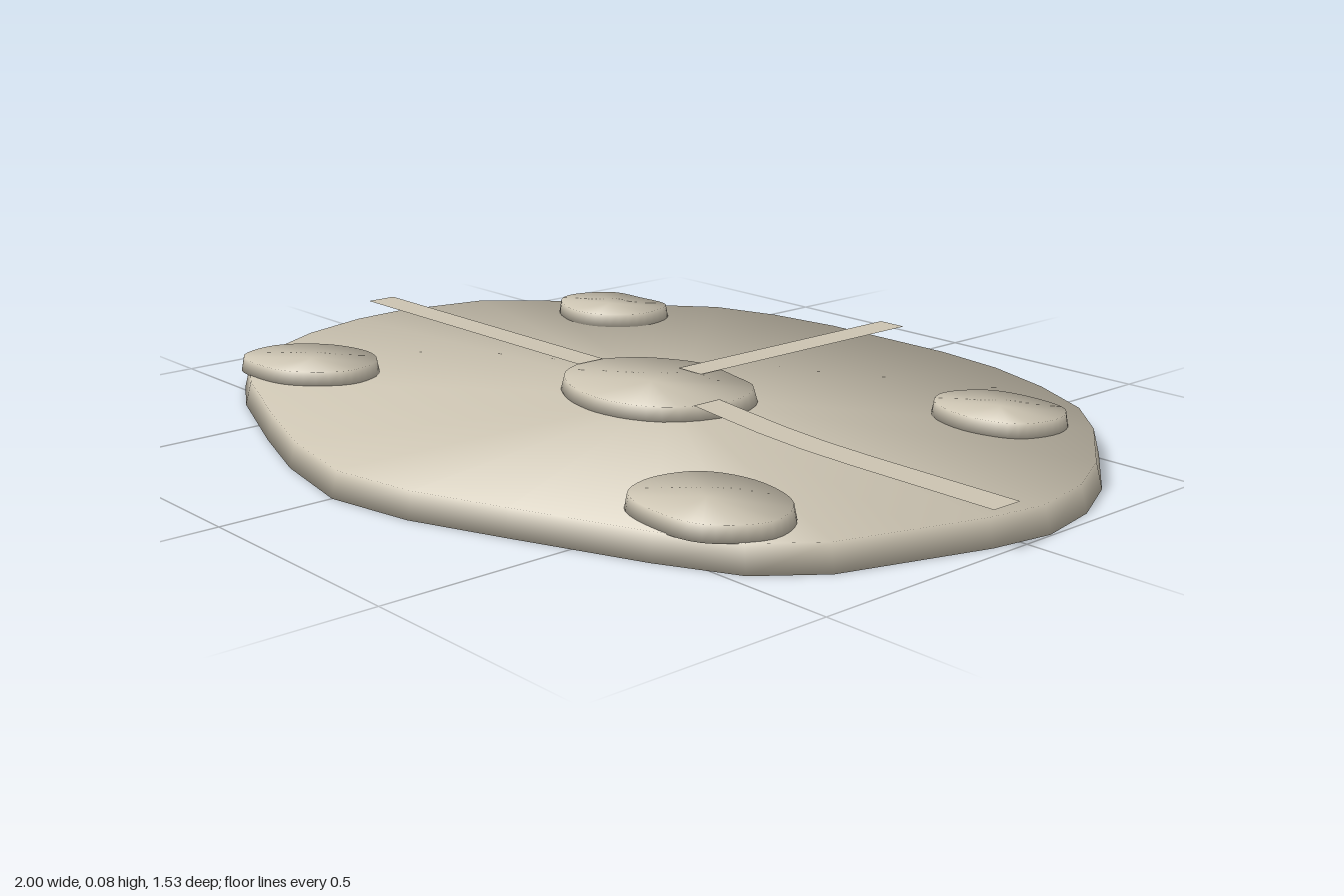
import * as THREE from 'three';

// Closed solid slab from an [x, z] outline (counterclockwise seen from above),
// slightly narrower on top, with edge normals rounded at 45 degrees.
function slab(name, outline, y0, y1, inset, samples, material) {
  const ctrl = outline.map(([x, z]) => new THREE.Vector3(x, 0, z));
  const ring = samples
    ? new THREE.CatmullRomCurve3(ctrl, true).getPoints(samples).slice(0, -1)
    : ctrl;
  const n = ring.length;
  const centre = ring.reduce((s, p) => s.add(p), new THREE.Vector3()).divideScalar(n);
  const pos = [], nor = [], idx = [];
  for (const [y, k, up] of [[y0, 1, -1], [y1, 1 - inset, 1]]) {
    ring.forEach((p, i) => {
      const t = ring[(i + 1) % n].clone().sub(ring[(i + n - 1) % n]).normalize();
      const q = p.clone().sub(centre).multiplyScalar(k).add(centre);
      pos.push(q.x, y, q.z);
      nor.push(-t.z * Math.SQRT1_2, up * Math.SQRT1_2, t.x * Math.SQRT1_2);
    });
    pos.push(centre.x, y, centre.z);
    nor.push(0, up, 0);
  }
  const m = n + 1;
  for (let i = 0; i < n; i++) {
    const j = (i + 1) % n;
    idx.push(i, j, m + j, i, m + j, m + i); // side wall
    idx.push(n, j, i);                      // underside
    idx.push(m + n, m + i, m + j);          // top
  }
  // sides face away from the centre
  for (let i = 0; i < nor.length; i += 3) {
    const out = nor[i] * (pos[i] - centre.x) + nor[i + 2] * (pos[i + 2] - centre.z);
    if (out < 0) { nor[i] *= -1; nor[i + 2] *= -1; }
  }
  const g = new THREE.BufferGeometry();
  g.setAttribute('position', new THREE.Float32BufferAttribute(pos, 3));
  g.setAttribute('normal', new THREE.Float32BufferAttribute(nor, 3));
  g.setIndex(idx);
  const mesh = new THREE.Mesh(g, material);
  mesh.name = name;
  return mesh;
}

// Flat strip between two edges of [x, z] points
function strip(name, edgeA, edgeB, y, material) {
  const shape = new THREE.Shape(
    [...edgeA, ...edgeB.slice().reverse()].map(([x, z]) => new THREE.Vector2(x, -z)));
  const mesh = new THREE.Mesh(new THREE.ShapeGeometry(shape).rotateX(-Math.PI / 2), material);
  mesh.position.y = y;
  mesh.name = name;
  return mesh;
}

export function createModel() {
  const stone = new THREE.MeshStandardMaterial({ color: 0xccc4b2, side: THREE.DoubleSide });
  stone.name = 'warm stone';
  const model = new THREE.Group();
  model.name = 'terrainPlate';

  // Base plate
  model.add(slab('basePlate', [
    [0, -0.763], [-0.17, -0.76], [-0.345, -0.735], [-0.5, -0.685], [-0.64, -0.565], [-0.85, -0.4],
    [-0.95, -0.285], [-0.997, -0.07], [-0.99, 0.06], [-0.945, 0.225], [-0.88, 0.35],
    [-0.785, 0.485], [-0.655, 0.56], [-0.4, 0.66], [-0.21, 0.725], [0, 0.765],
    [0.19, 0.73], [0.38, 0.655], [0.64, 0.548], [0.79, 0.47], [0.88, 0.355],
    [0.93, 0.2], [0.975, 0.06], [0.997, -0.07], [0.97, -0.21], [0.905, -0.345],
    [0.77, -0.52], [0.66, -0.62], [0.505, -0.695], [0.34, -0.745], [0.17, -0.765],
  ], 0, 0.052, 0.015, 0, stone));

  // Raised mounds
  const mounds = {
    centreMound: [[-0.035, -0.212], [-0.12, -0.18], [-0.175, -0.14], [-0.217, -0.07], [-0.22, 0],
      [-0.18, 0.075], [-0.09, 0.13], [-0.02, 0.147], [0.03, 0.149], [0.11, 0.13], [0.18, 0.08],
      [0.223, -0.02], [0.217, -0.1], [0.17, -0.165], [0.085, -0.19]],
    backRightMound: [[-0.6, -0.525], [-0.7, -0.51], [-0.745, -0.415], [-0.715, -0.355],
      [-0.605, -0.31], [-0.525, -0.33], [-0.465, -0.415], [-0.5, -0.52]],
    backLeftMound: [[0.595, -0.525], [0.5, -0.5], [0.452, -0.415], [0.485, -0.345],
      [0.595, -0.31], [0.705, -0.345], [0.735, -0.435], [0.7, -0.505]],
    frontRightMound: [[-0.6, 0.275], [-0.72, 0.31], [-0.79, 0.405], [-0.76, 0.505],
      [-0.655, 0.525], [-0.56, 0.5], [-0.483, 0.4], [-0.515, 0.31]],
    frontLeftMound: [[0.61, 0.27], [0.505, 0.31], [0.473, 0.405], [0.51, 0.495],
      [0.61, 0.525], [0.725, 0.51], [0.795, 0.41], [0.75, 0.31]],
  };
  for (const [name, outline] of Object.entries(mounds))
    model.add(slab(name, outline, 0.05, 0.081, 0.04, 40, stone));

  // Flat paths running out from the centre
  const roadY = 0.084;
  model.add(strip('backPath', [[-0.035, -0.13], [0.035, -0.13]],
    [[-0.035, -0.77], [0.035, -0.77]], roadY, stone));
  model.add(strip('rightPath', [[-1, 0.01], [-0.2, 0.01]], [[-1, -0.06], [-0.2, -0.06]], roadY, stone));
  const bend = [[0.2, 0.008], [0.3, 0.025], [0.42, 0.044], [0.54, 0.056], [0.66, 0.06], [1, 0.06]];
  model.add(strip('leftPath', bend.map(([x, z]) => [x, z + 0.035]),
    bend.map(([x, z]) => [x, z - 0.035]), roadY, stone));
  return model;
}
